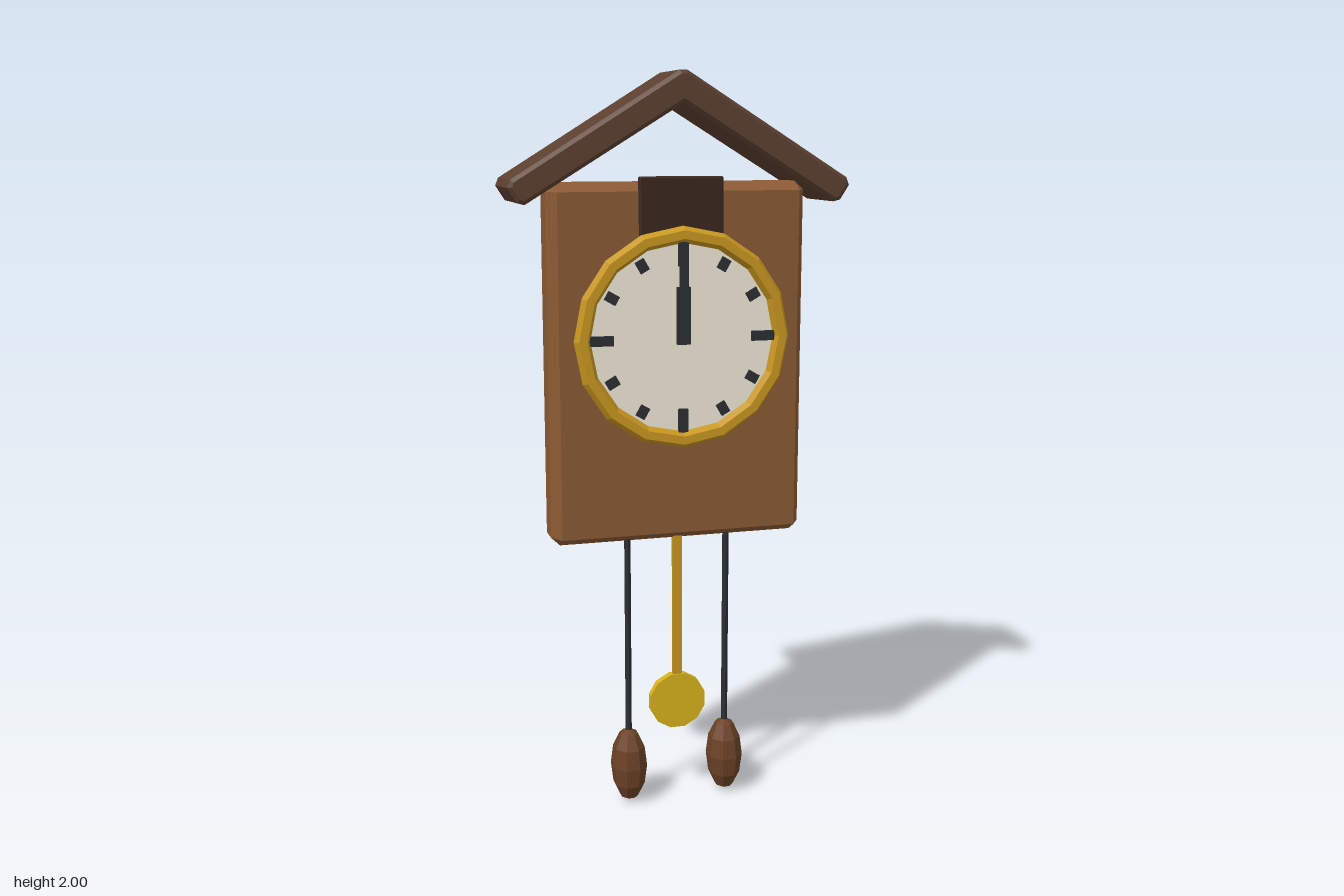
import * as THREE from 'three';
import { ConvexGeometry } from 'three/addons/geometries/ConvexGeometry.js';

const mat = (color) => new THREE.MeshStandardMaterial({ color, flatShading: true });
const WOOD = mat(0x8b5a33), ROOF = mat(0x5c4030), DOOR = mat(0x3a281e), WEIGHT = mat(0x6b4226);
const GOLD = mat(0xc9971f), BRASS = mat(0xd8b21c), CREAM = mat(0xf0ead8), BLACK = mat(0x2a2f33);

// Box with all edges chamfered by (cx, cy, cz)
function chamferBox(w, h, d, cx, cy, cz) {
  const pts = [];
  for (const sx of [-1, 1]) for (const sy of [-1, 1]) for (const sz of [-1, 1]) {
    const x = w / 2, y = h / 2, z = d / 2;
    pts.push(new THREE.Vector3(sx * x, sy * (y - cy), sz * (z - cz)));
    pts.push(new THREE.Vector3(sx * (x - cx), sy * y, sz * (z - cz)));
    pts.push(new THREE.Vector3(sx * (x - cx), sy * (y - cy), sz * z));
  }
  return new ConvexGeometry(pts);
}

export function createModel() {
  const model = new THREE.Group();
  model.name = 'wallClock';
  const add = (name, geometry, material, x = 0, y = 0, z = 0, parent = model) => {
    const mesh = new THREE.Mesh(geometry, material);
    mesh.name = name;
    mesh.position.set(x, y, z);
    parent.add(mesh);
    return mesh;
  };

  // Case
  add('case', chamferBox(0.7, 0.96, 0.14, 0.024, 0.023, 0.04), WOOD, 0, 1.24, 0);

  // Gabled roof: chevron with clipped ends and a chamfer front and back
  const half = [[0.01, 2], [0.448, 1.73], [0.456, 1.71], [0.432, 1.672], [0.413, 1.667]];
  const outline = [...half, [0, 1.918], ...half.map(([x, y]) => [-x, y]).reverse()];
  const roofShape = new THREE.Shape(outline.map(([x, y]) => new THREE.Vector2(x, y)));
  const roofGeo = new THREE.ExtrudeGeometry(roofShape, {
    depth: 0.194, bevelEnabled: true, bevelSegments: 1,
    bevelSize: 0.01, bevelThickness: 0.01, bevelOffset: -0.01,
  });
  add('roof', roofGeo, ROOF, 0, 0, -0.101);

  // Small door above the dial
  add('door', chamferBox(0.226, 0.18, 0.022, 0.004, 0.004, 0.004), DOOR, 0, 1.645, 0.071);

  // Dial with bezel, hour marks and hands
  const dial = new THREE.Group();
  dial.name = 'dial';
  dial.position.set(0, 1.317, 0);
  model.add(dial);
  const face = add('dialFace', new THREE.CylinderGeometry(0.268, 0.268, 0.03, 16), CREAM, 0, 0, 0.075, dial);
  face.rotation.set(Math.PI / 2, 0, 0);
  face.geometry.rotateY(Math.PI / 2);
  add('bezel', new THREE.TorusGeometry(0.271, 0.022, 6, 16), GOLD, 0, 0, 0.092, dial);
  for (let i = 0; i < 12; i++) {
    const long = i % 3 === 0, a = (i * Math.PI) / 6, r = long ? 0.22 : 0.221;
    const mark = add('hourMark', new THREE.BoxGeometry(0.026, long ? 0.064 : 0.033, 0.012), BLACK,
      r * Math.sin(a), r * Math.cos(a), 0.092, dial);
    mark.rotation.z = -a;
  }
  add('hourHand', new THREE.BoxGeometry(0.037, 0.15, 0.01), BLACK, 0, 0.06, 0.098, dial);
  add('minuteHand', new THREE.BoxGeometry(0.023, 0.265, 0.01), BLACK, 0, 0.117, 0.1, dial);

  // Pendulum
  add('pendulumRod', new THREE.BoxGeometry(0.025, 0.46, 0.015), GOLD, 0, 0.57, 0.032);
  const bob = add('pendulumBob', new THREE.CylinderGeometry(0.081, 0.081, 0.022, 12), BRASS, 0, 0.285, 0.032);
  bob.geometry.rotateY(Math.PI / 12);
  bob.rotation.x = Math.PI / 2;

  // Chains and weights
  for (const s of [-1, 1]) {
    add('chain', new THREE.CylinderGeometry(0.009, 0.009, 0.58, 6), BLACK, s * 0.14, 0.49, 0.032);
    const weightGeo = new THREE.SphereGeometry(1, 8, 6);
    weightGeo.rotateY(Math.PI / 8);
    weightGeo.scale(0.051, 0.108, 0.059);
    add('weight', weightGeo, WEIGHT, s * 0.14, 0.108, 0.032);
  }

  // Hanging knob on the back
  const knobGeo = new THREE.SphereGeometry(0.055, 8, 6);
  knobGeo.rotateX(Math.PI / 2);
  knobGeo.scale(1, 1.05, 0.75);
  add('hangingKnob', knobGeo, BRASS, 0, 1.63, -0.068);

  return model;
}
